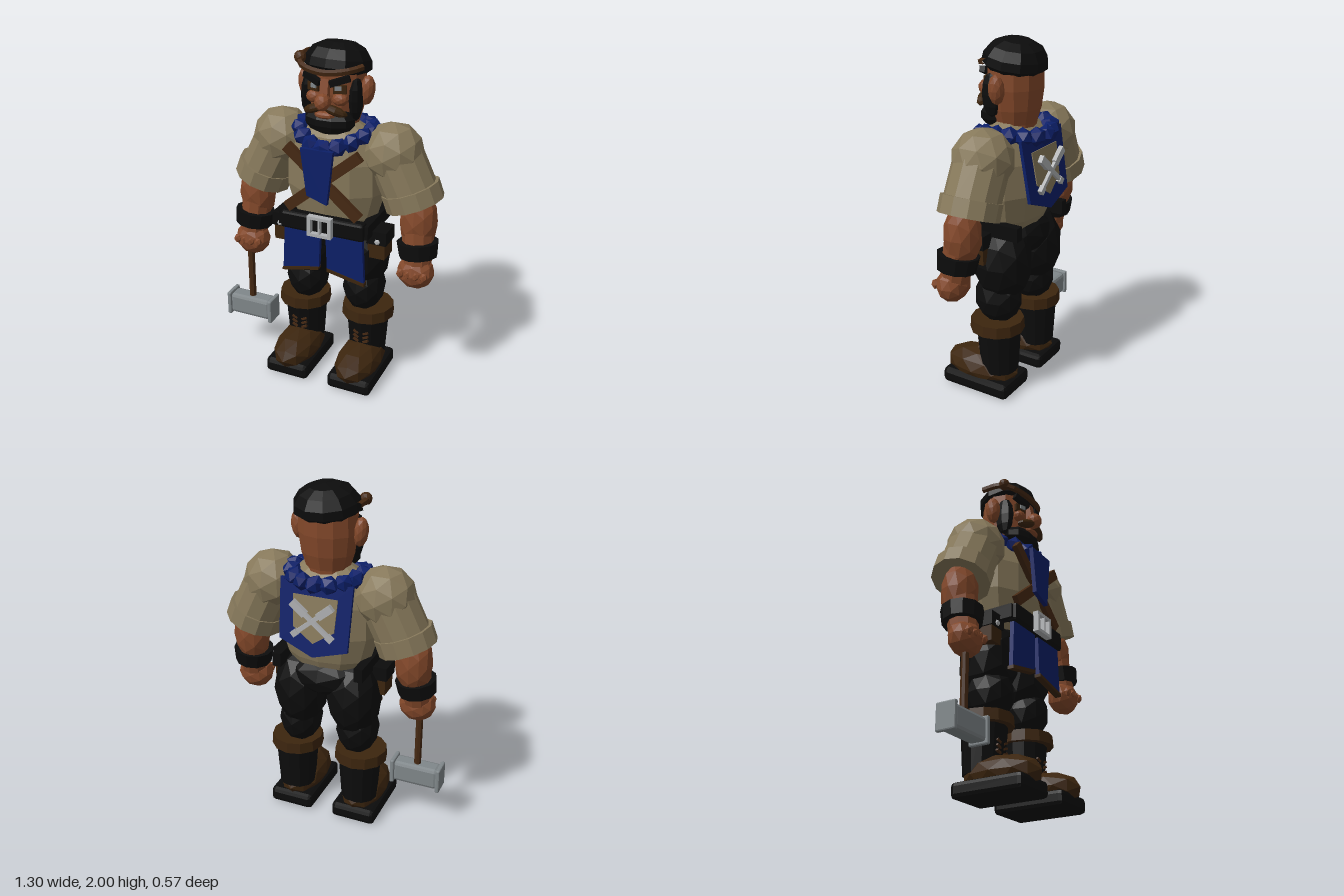
import * as THREE from 'three';
import { RoundedBoxGeometry } from 'three/addons/geometries/RoundedBoxGeometry.js';

const V = (x, y, z) => new THREE.Vector3(x, y, z);

// One material per flat colour
const paint = (name, color) => { const m = new THREE.MeshStandardMaterial({ color }); m.name = name; return m; };
const skin = paint('skin', 0x83482a);
const linen = paint('linen', 0x87795b);
const blue = paint('blueCloth', 0x0c1f68);
const black = paint('blackCloth', 0x0c0c0c);
const leather = paint('leather', 0x3c250e);
const strapBrown = paint('strapBrown', 0x462913);
const steel = paint('steel', 0x80878a);
const silver = paint('silver', 0xb0b2b4);

// Faceted normals
function flat(geo) {
  const g = geo.index ? geo.toNonIndexed() : geo;
  g.computeVertexNormals();
  return g;
}
function add(parent, name, geo, mat, pos = [0, 0, 0], rot = [0, 0, 0]) {
  const m = new THREE.Mesh(flat(geo), mat);
  m.name = name;
  m.position.set(...pos);
  m.rotation.set(...rot);
  parent.add(m);
  return m;
}
const box = (w, h, d) => new THREE.BoxGeometry(w, h, d);
const blob = (rx, ry, rz, detail = 1) => new THREE.IcosahedronGeometry(1, detail).scale(rx, ry, rz);
const ball = (rx, ry, rz, a = 10, b = 7) => new THREE.SphereGeometry(1, a, b).scale(rx, ry, rz);
const lathe = (pts, seg, depth) =>
  new THREE.LatheGeometry(pts.map(p => new THREE.Vector2(...p)), seg).scale(1, 1, depth);

// Tapered cylinder between two points
function limb(parent, name, a, b, ra, rb, mat, seg = 10) {
  const d = b.clone().sub(a);
  const m = add(parent, name, new THREE.CylinderGeometry(rb, ra, d.length(), seg), mat);
  m.position.copy(a).addScaledVector(d, 0.5);
  m.quaternion.setFromUnitVectors(V(0, 1, 0), d.normalize());
  return m;
}
// Flat plate cut from an outline
function plate(pts, depth) {
  const s = new THREE.Shape(pts.map(p => new THREE.Vector2(...p)));
  return new THREE.ExtrudeGeometry(s, { depth, bevelEnabled: false });
}

function buildHead(body) {
  const head = new THREE.Group();
  head.name = 'head';
  body.add(head);
  add(head, 'skull', lathe([[0, 1.46], [0.12, 1.46], [0.125, 1.55], [0.15, 1.63], [0.165, 1.74], [0.163, 1.86], [0.12, 1.93], [0, 1.95]], 12, 0.9), skin, [0, 0, -0.045]);
  add(head, 'beard', ball(0.148, 0.08, 0.09), black, [0, 1.59, 0.05]);
  add(head, 'lowerLip', ball(0.06, 0.02, 0.03, 8, 5), skin, [0, 1.635, 0.12]);
  add(head, 'nose', blob(0.045, 0.048, 0.048), skin, [0, 1.71, 0.14]);
  add(head, 'noseBridge', box(0.045, 0.11, 0.05), skin, [0, 1.77, 0.105], [-0.2, 0, 0]);
  for (const s of [-1, 1]) {
    add(head, 'ear', blob(0.042, 0.083, 0.045), skin, [s * 0.178, 1.75, -0.035], [0, 0, -s * 0.1]);
    add(head, 'sideburn', ball(0.035, 0.12, 0.062, 8, 6), black, [s * 0.138, 1.71, 0.02]);
    add(head, 'cheek', blob(0.045, 0.036, 0.036), skin, [s * 0.075, 1.72, 0.085]);
    add(head, 'moustache', ball(0.072, 0.025, 0.03, 8, 6), leather, [s * 0.062, 1.667, 0.125], [0, s * 0.3, -s * 0.35]);
    add(head, 'eyeSocket', box(0.07, 0.045, 0.02), leather, [s * 0.075, 1.775, 0.088], [0, s * 0.3, 0]);
    add(head, 'eye', box(0.035, 0.022, 0.008), steel, [s * 0.07, 1.782, 0.104], [0, s * 0.3, 0]);
    add(head, 'eyebrow', box(0.11, 0.033, 0.03), black, [s * 0.078, 1.822, 0.1], [0, s * 0.3, s * 0.32]);
  }
  // Cap, tipped back, with a leather band and knob
  add(head, 'cap', lathe([[0, -0.07], [0.145, -0.07], [0.186, -0.035], [0.18, 0.01], [0.145, 0.06], [0.085, 0.09], [0, 0.1]], 11, 0.95), black, [0.008, 1.898, -0.05], [-0.16, 0, -0.03]);
  const band = [[-0.19, 1.91, -0.1], [-0.185, 1.905, 0.02], [-0.14, 1.88, 0.09], [0, 1.862, 0.125], [0.13, 1.878, 0.09], [0.178, 1.89, 0.03]];
  add(head, 'capBand', new THREE.TubeGeometry(new THREE.CatmullRomCurve3(band.map(p => V(...p))), 14, 0.018, 5), strapBrown);
  add(head, 'capKnob', blob(0.034, 0.035, 0.034), strapBrown, [-0.175, 1.908, 0.04]);
}

function buildTorso(body) {
  add(body, 'torso', lathe([[0, 0.95], [0.2, 0.95], [0.25, 1.03], [0.295, 1.18], [0.29, 1.36], [0.235, 1.5], [0.12, 1.57], [0, 1.57]], 12, 0.63), linen, [0, 0, -0.04]);
  add(body, 'pelvis', blob(0.25, 0.13, 0.165), black, [0, 0.91, -0.06]);
  // Crossed chest straps
  for (const s of [-1, 1])
    add(body, 'chestStrap', box(0.06, 0.56, 0.032), strapBrown, [0, 1.263, 0.147], [0, 0, s * 0.87]);
  // Bundled scarf ring
  const n = 16;
  for (let i = 0; i < n; i++) {
    const t = (i / n) * Math.PI * 2, c = Math.cos(t);
    const y = 1.52 - (c > 0 ? 0.062 : 0.02) * c * c;
    add(body, 'scarfFold', blob(0.06, 0.052, 0.052, 0), blue, [0.2 * Math.sin(t), y, -0.045 + 0.187 * c], [i, i * 0.7, 0]);
  }
  add(body, 'scarfTail', plate([[-0.11, 1.46], [-0.075, 1.19], [0.045, 1.15], [0.08, 1.46]], 0.025), blue, [0, 0, 0.17]);
  // Back cape with a shield panel and crossed tools
  const cape = new THREE.Group();
  cape.name = 'backCape';
  cape.position.set(0, 1.3, -0.24);
  body.add(cape);
  const tilt = [0.16, 0, 0];
  add(cape, 'capeCloth', plate([[-0.21, 0.21], [-0.2, -0.15], [0, -0.21], [0.2, -0.13], [0.21, 0.21]], 0.018), blue, [0, 0, 0], tilt);
  add(cape, 'capePanel', plate([[-0.13, 0.13], [-0.12, -0.05], [0, -0.13], [0.12, -0.05], [0.13, 0.13]], 0.006), linen, [0, 0, -0.006], tilt);
  for (const s of [-1, 1]) {
    const tool = new THREE.Group();
    tool.name = 'crossedTool';
    tool.position.set(0, 0.005, -0.03);
    tool.rotation.z = s * 0.88;
    cape.add(tool);
    add(tool, 'toolShaft', box(0.024, 0.3, 0.018), silver);
    add(tool, 'toolHead', box(0.042, 0.1, 0.025), silver, [0, 0.1, 0]);
    add(tool, 'toolFoot', box(0.034, 0.04, 0.025), silver, [0, -0.13, 0]);
  }
}

function buildBelt(body) {
  add(body, 'beltFront', new RoundedBoxGeometry(0.5, 0.105, 0.065, 1, 0.015), black, [0, 1.005, 0.138]);
  const buckle = new THREE.Shape([[-0.072, -0.06], [0.072, -0.06], [0.072, 0.06], [-0.072, 0.06]].map(p => new THREE.Vector2(...p)));
  for (const s of [-1, 1]) {
    const x = s * 0.028;
    buckle.holes.push(new THREE.Path([[x - 0.023, -0.042], [x - 0.023, 0.042], [x + 0.023, 0.042], [x + 0.023, -0.042]].map(p => new THREE.Vector2(...p))));
    add(body, 'beltSide', box(0.05, 0.08, 0.37), black, [s * 0.245, 1.005, -0.035]);
    add(body, 'pouch', box(0.1, 0.15, 0.12), leather, [s * 0.29, 0.895, 0.01]);
    add(body, 'pouchFlap', box(0.115, 0.08, 0.135), black, [s * 0.292, 0.95, 0.012]);
    add(body, 'pouchButton', blob(0.018, 0.018, 0.012, 0), silver, [s * 0.3, 0.93, 0.083]);
    // Hanging cloth with a leather hem
    const cloth = [[0.015, 0.97], [0.235, 0.97], [0.25, 0.685], [0.025, 0.735]].map(([x, y]) => [s * x, y]);
    const hem = [[0.025, 0.738], [0.252, 0.69], [0.254, 0.67], [0.026, 0.718]].map(([x, y]) => [s * x, y]);
    add(body, 'apronCloth', plate(cloth, 0.025), blue, [0, 0, 0.122]);
    add(body, 'apronHem', plate(hem, 0.037), leather, [0, 0, 0.116]);
  }
  add(body, 'buckle', new THREE.ExtrudeGeometry(buckle, { depth: 0.035, bevelEnabled: false }), silver, [0, 1.01, 0.167]);
}

function buildArm(body, s) {
  const arm = new THREE.Group();
  arm.name = s > 0 ? 'leftArm' : 'rightArm';
  body.add(arm);
  add(arm, 'shoulder', blob(0.17, 0.17, 0.17), linen, [s * 0.33, 1.42, -0.05]);
  limb(arm, 'sleeve', V(s * 0.335, 1.42, -0.05), V(s * 0.437, 1.21, -0.047), 0.153, 0.153, linen, 12);
  limb(arm, 'sleeveCuff', V(s * 0.433, 1.235, -0.047), V(s * 0.468, 1.145, -0.047), 0.166, 0.166, linen, 12);
  add(arm, 'forearm', blob(0.107, 0.18, 0.102), skin, [s * 0.497, 1.05, -0.03]);
  limb(arm, 'wrist', V(s * 0.5, 1.0, -0.02), V(s * 0.512, 0.8, 0.015), 0.09, 0.08, skin);
  limb(arm, 'bracelet', V(s * 0.504, 0.943, -0.005), V(s * 0.514, 0.857, 0.003), 0.117, 0.107, black, 11);
  add(arm, 'fist', blob(0.107, 0.1, 0.087), skin, [s * 0.511, 0.768, 0.025]);
  for (let i = 0; i < 4; i++)
    add(arm, 'knuckle', blob(0.023, 0.03, 0.024, 0), skin, [s * (0.511 + (i - 1.5) * 0.045), 0.775, 0.093]);
}

function buildLeg(body, s) {
  const leg = new THREE.Group();
  leg.name = s > 0 ? 'leftLeg' : 'rightLeg';
  body.add(leg);
  add(leg, 'thigh', blob(0.158, 0.24, 0.17), black, [s * 0.165, 0.785, -0.063]);
  add(leg, 'knee', blob(0.125, 0.16, 0.14), black, [s * 0.18, 0.575, -0.045]);
  limb(leg, 'bootShaft', V(s * 0.202, 0.13, -0.065), V(s * 0.202, 0.42, -0.06), 0.107, 0.128, black, 12);
  limb(leg, 'bootCuff', V(s * 0.204, 0.39, -0.052), V(s * 0.204, 0.455, -0.052), 0.155, 0.15, leather, 12);
  add(leg, 'bootFoot', blob(0.132, 0.105, 0.235), leather, [s * 0.2, 0.12, 0.052]);
  add(leg, 'bootSole', new RoundedBoxGeometry(0.27, 0.09, 0.43, 1, 0.025), black, [s * 0.2, 0.045, 0.035]);
  for (let i = 0; i < 3; i++)
    for (const k of [-1, 1])
      add(leg, 'bootLace', box(0.035, 0.012, 0.02), strapBrown, [s * 0.2 + k * 0.03, 0.24 + i * 0.028, 0.046], [0, 0, k * 0.4]);
}

function buildHammer(body) {
  const hammer = new THREE.Group();
  hammer.name = 'hammer';
  hammer.position.set(-0.525, 0, 0.035);
  body.add(hammer);
  add(hammer, 'hammerHandle', new THREE.CylinderGeometry(0.021, 0.021, 0.38, 8), strapBrown, [0, 0.54, 0]);
  add(hammer, 'hammerHead', new RoundedBoxGeometry(0.27, 0.13, 0.1, 1, 0.02), steel, [0, 0.305, 0]);
  for (const s of [-1, 1])
    add(hammer, 'hammerFace', new RoundedBoxGeometry(0.026, 0.15, 0.118, 1, 0.008), steel, [s * 0.139, 0.305, 0]);
}

export function createModel() {
  const model = new THREE.Group();
  model.name = 'blacksmith';
  const body = new THREE.Group();
  body.name = 'body';
  body.position.x = 0.02;
  model.add(body);
  buildHead(body);
  buildTorso(body);
  buildBelt(body);
  for (const s of [-1, 1]) {
    buildArm(body, s);
    buildLeg(body, s);
  }
  buildHammer(body);
  return model;
}
